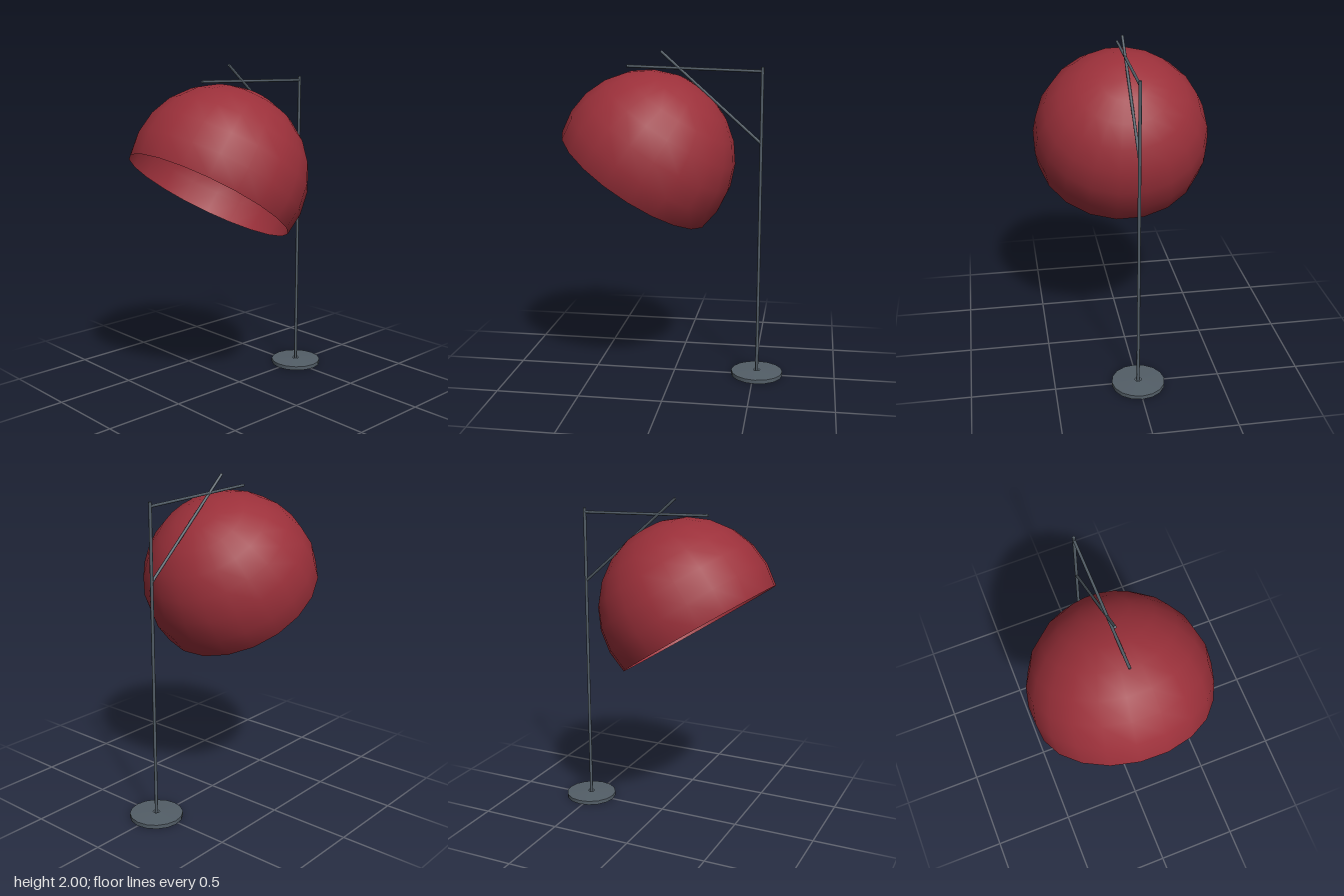
import * as THREE from 'three';

export function createModel() {
  const model = new THREE.Group();
  const metal = new THREE.MeshStandardMaterial({ color: 0x535e67 });
  metal.name = 'grey metal';
  const red = new THREE.MeshStandardMaterial({ color: 0x9b303a, side: THREE.DoubleSide });
  red.name = 'red shade';

  const add = (name, geometry, material) => {
    const mesh = new THREE.Mesh(geometry, material);
    mesh.name = name;
    model.add(mesh);
    return mesh;
  };

  // Straight round bar between two points in the x = 0 plane, given as [y, z]
  const bar = (name, [y0, z0], [y1, z1], radius) => {
    const a = new THREE.Vector3(0, y0, z0);
    const b = new THREE.Vector3(0, y1, z1);
    const mesh = add(name, new THREE.CylinderGeometry(radius, radius, a.distanceTo(b), 8), metal);
    mesh.position.copy(a).lerp(b, 0.5);
    mesh.quaternion.setFromUnitVectors(new THREE.Vector3(0, 1, 0), b.sub(a).normalize());
  };

  // Round foot with a slightly raised top
  const poleZ = -0.52;
  const foot = add('base', new THREE.CylinderGeometry(0.16, 0.16, 0.024, 16), metal);
  foot.position.set(0, 0.012, poleZ);
  const crown = add('baseTop', new THREE.CylinderGeometry(0.02, 0.16, 0.006, 16, 1, true), metal);
  crown.position.set(0, 0.027, poleZ);

  // Upright and the two crossing arms
  bar('pole', [0.01, poleZ], [1.905, poleZ], 0.0095);
  bar('upperArm', [1.88, poleZ], [1.905, 0.29], 0.0085);
  bar('braceArm', [1.455, poleZ], [1.993, 0.083], 0.0085);

  // Open dome, tipped back so its mouth faces forward and down
  const step = Math.PI / 10;
  const dome = add('shade', new THREE.SphereGeometry(
    0.537, 20, 7, step / 2, Math.PI * 2, 0, THREE.MathUtils.degToRad(105)), red);
  dome.position.set(0, 1.35, 0.17);
  dome.rotation.set(-0.588, 0, -0.03);

  return model;
}
